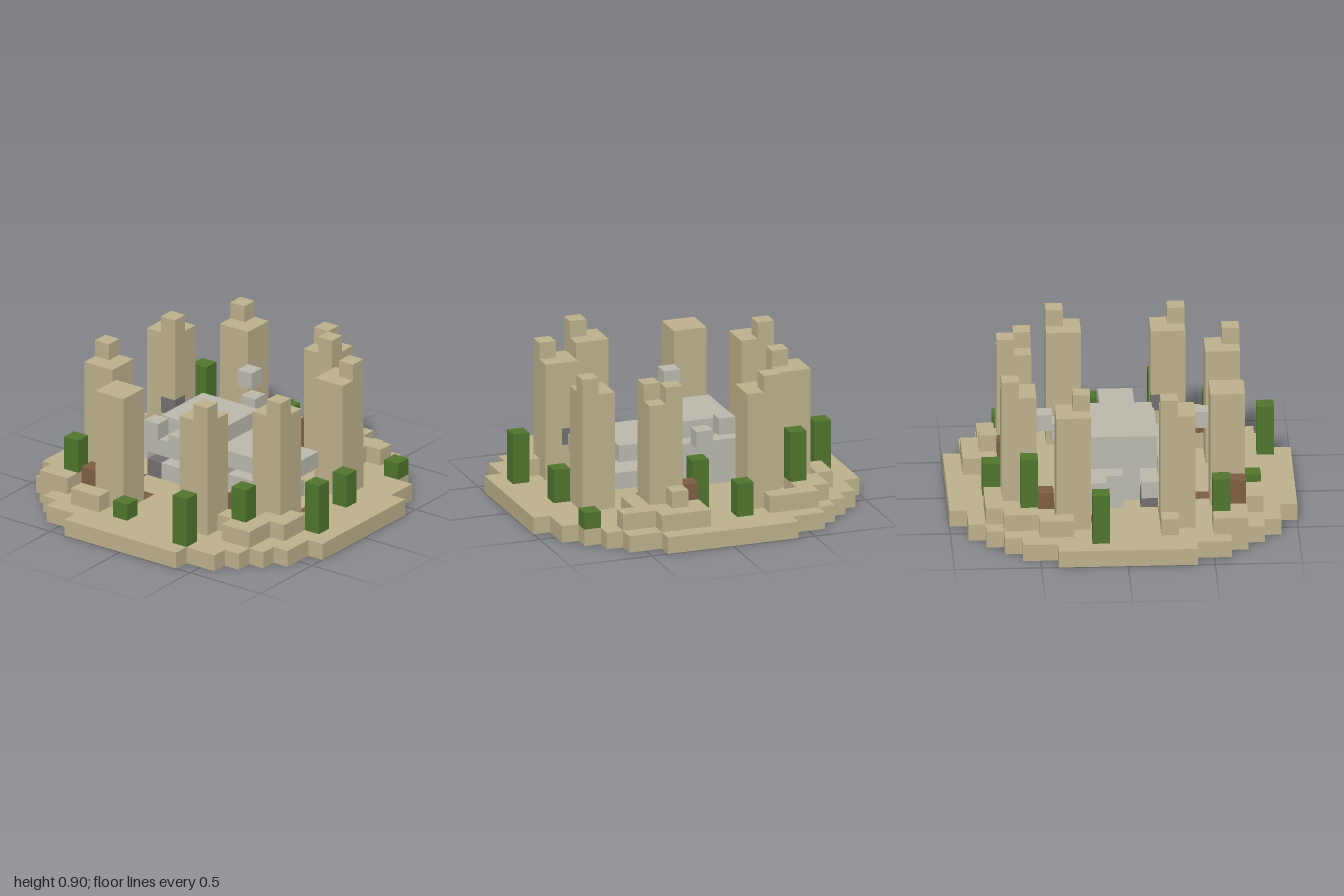
import * as THREE from 'three';

const U = 0.1; // size of one block

export function createModel() {
  const mat = (name, color) => Object.assign(new THREE.MeshStandardMaterial({ color }), { name });
  const sand = mat('sandstone', 0xbdb18c);
  const leaf = mat('leaf green', 0x50752d);
  const earth = mat('brown earth', 0x7d5f42);
  const bone = mat('pale bone', 0xbbb9ad);
  const dark = mat('dark stone', 0x75706f);

  // Block grid: later fills replace earlier ones
  const grid = new Map();
  const key = (x, y, z) => `${x},${y},${z}`;
  const fill = (part, material, x0, x1, y0, y1, z0, z1) => {
    for (let x = x0; x < x1; x++)
      for (let y = y0; y < y1; y++)
        for (let z = z0; z < z1; z++) grid.set(key(x, y, z), { part, material, p: [x, y, z] });
  };

  // Round stepped floor
  const halfWidths = [10, 10, 10, 10, 9, 9, 8, 7, 6, 4];
  halfWidths.forEach((w, i) => {
    fill('floor', sand, -w, w, 0, 1, i, i + 1);
    fill('floor', sand, -w, w, 0, 1, -i - 1, -i);
  });

  // Low rubble steps around the pillars: x0, x1, z0, z1
  [
    [-5, -3, 7, 8], [-8, -6, 5, 7], [-8, -7, 2, 3], [-8, -7, -5, -3],
    [-6, -3, -8, -7], [-7, -5, -7, -5], [1, 4, -9, -8], [1, 6, -8, -7],
    [4, 5, -7, -5], [4, 7, 5, 6], [5, 7, 6, 7], [6, 8, 3, 5], [4, 5, 4, 5],
  ].forEach(([x0, x1, z0, z1]) => fill('rubble', sand, x0, x1, 1, 2, z0, z1));
  fill('rubble', sand, 2, 3, 2, 3, -8, -7);

  // Ring of eight pillars, each with its broken cap blocks
  [
    [2, 5, [[3, 6]]], [5, 2, [[6, 3]]], [-4, 5, []], [-7, 2, [[-7, 2]]],
    [-7, -4, [[-6, -3]]], [-4, -7, [[-4, -7]]],
    [2, -7, [[2, -7], [3, -6]]], [5, -4, [[6, -4]]],
  ].forEach(([x, z, caps]) => {
    fill('pillars', sand, x, x + 2, 1, 8, z, z + 2);
    caps.forEach(([cx, cz]) => fill('pillarCaps', sand, cx, cx + 1, 8, 9, cz, cz + 1));
  });
  // Dark stones set in two pillars
  fill('darkStones', dark, -6, -5, 3, 4, -3, -2);
  fill('darkStones', dark, 5, 6, 3, 4, 2, 3);

  // Bushes: x, z, bottom, top
  [
    [-2, -8, 1, 3], [7, -7, 1, 2], [-6, -6, 2, 5], [0, -6, 1, 4], [-9, -2, 1, 4], [7, -2, 1, 3],
    [8, 2, 1, 4], [5, 5, 2, 4], [-7, 5, 2, 4], [-2, 7, 1, 2], [3, 8, 1, 4],
  ].forEach(([x, z, y0, y1]) => fill('bushes', leaf, x, x + 1, y0, y1, z, z + 1));

  // Earth patches, most of them level with the floor: x, z, bottom, top
  [
    [-4, -5, 0, 2], [-4, -4, 0, 1], [-6, -2, 0, 1], [2, -3, 0, 1], [5, -2, 0, 1], [6, 0, 0, 1],
    [3, 3, 0, 1], [4, 4, 2, 3], [-5, 2, 0, 1], [-3, 4, 0, 1], [-5, 6, 1, 3], [1, -7, 1, 3],
  ].forEach(([x, z, y0, y1]) => fill('earthPatches', earth, x, x + 1, y0, y1, z, z + 1));

  // Horned skull in the middle, snout toward +x
  fill('skullBase', bone, -3, 4, 0, 1, -1, 1);
  fill('cranium', bone, -3, 1, 1, 5, -2, 1);
  fill('cranium', bone, -3, 1, 3, 5, 1, 2);
  fill('cranium', bone, -3, 1, 1, 2, 1, 2);
  fill('snout', bone, 1, 4, 3, 4, -2, 2);
  fill('snout', bone, 4, 6, 3, 4, -1, 1);
  fill('jaw', bone, 0, 5, 1, 2, -1, 1);
  for (const z of [-3, 2]) fill('cheeks', bone, -4, 1, 3, 4, z, z + 1);
  for (const z of [-2, 1]) fill('neck', bone, -5, -4, 2, 3, z, z + 1);
  fill('neck', bone, -4, -3, 1, 3, -2, 0);
  for (const [x, y, z] of [[-1, 4, 3], [-2, 5, 4]]) {
    fill('horns', bone, x, x + 1, y, y + 1, z, z + 1);
    fill('horns', bone, x, x + 1, y, y + 1, -z - 1, -z);
  }
  fill('darkStones', dark, -4, -3, 1, 2, 1, 2);

  // Collect the exposed block faces of every part
  const buckets = new Map();
  for (const { part, material, p } of grid.values()) {
    const id = part + material.name;
    if (!buckets.has(id)) buckets.set(id, { part, material, verts: [] });
    const out = buckets.get(id).verts;
    for (let a = 0; a < 3; a++) for (const s of [0, 1]) {
      const n = [...p];
      n[a] += s ? 1 : -1;
      if (grid.has(key(...n))) continue;
      const b = (a + 1) % 3, c = (a + 2) % 3;
      const corner = (i, j) => {
        const v = [...p];
        v[a] += s; v[b] += i; v[c] += j;
        return v.map((k) => k * U);
      };
      const q = [corner(0, 0), corner(1, 0), corner(1, 1), corner(0, 1)];
      if (!s) q.reverse();
      for (const k of [0, 1, 2, 0, 2, 3]) out.push(...q[k]);
    }
  }

  const group = new THREE.Group();
  group.name = 'ruinedStoneCircle';
  for (const { part, material, verts } of buckets.values()) {
    const geo = new THREE.BufferGeometry();
    geo.setAttribute('position', new THREE.Float32BufferAttribute(verts, 3));
    geo.computeVertexNormals();
    const mesh = new THREE.Mesh(geo, material);
    mesh.name = part;
    group.add(mesh);
  }
  return group;
}
